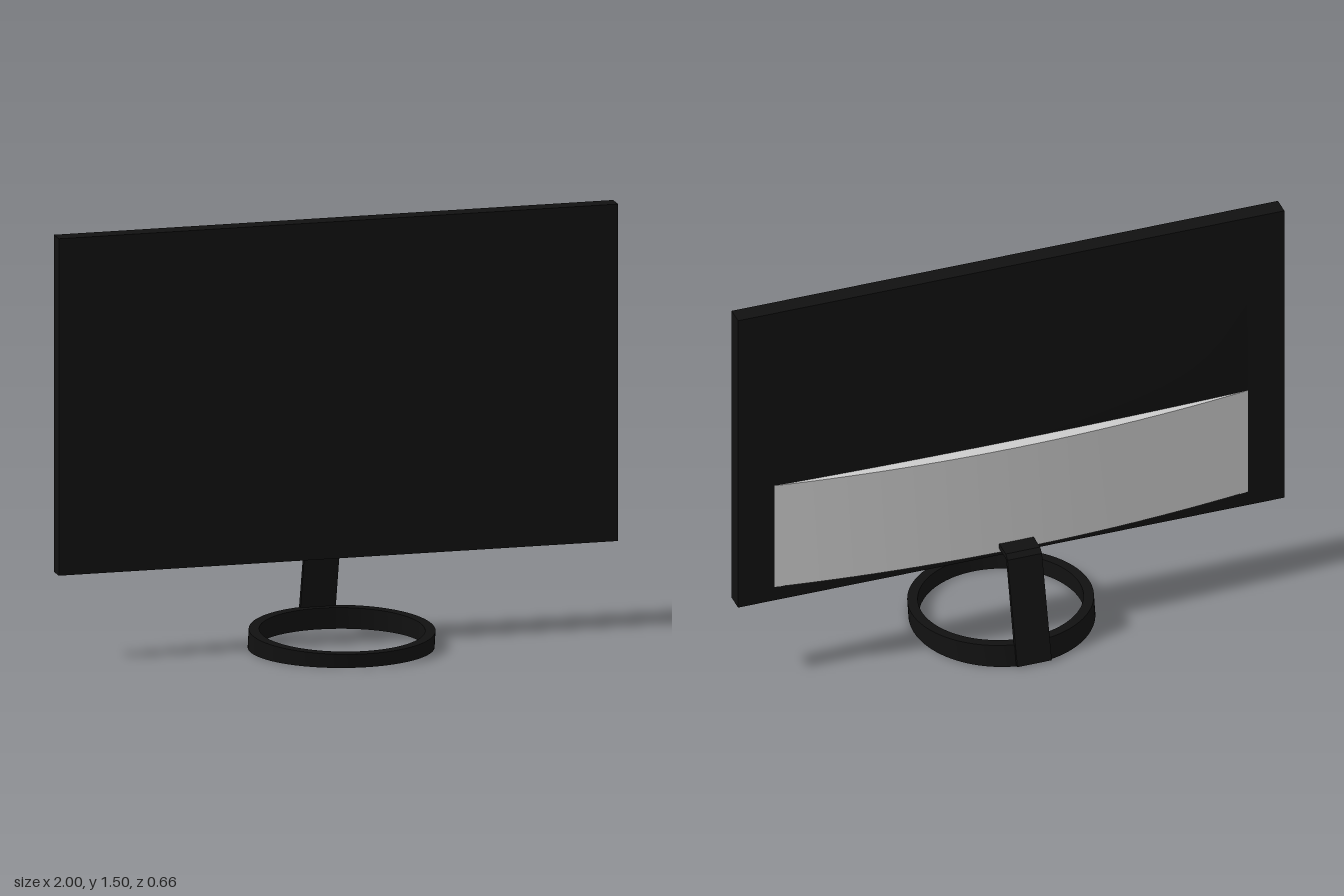
import * as THREE from 'three';
import { toCreasedNormals } from 'three/addons/utils/BufferGeometryUtils.js';

const black = new THREE.MeshStandardMaterial({ color: 0x111111 });
const grey = new THREE.MeshStandardMaterial({ color: 0xcccccc });

function part(name, geometry, material) {
  const mesh = new THREE.Mesh(geometry, material);
  mesh.name = name;
  return mesh;
}

// Moves every vertex by a rule
function reshape(geometry, rule) {
  const p = geometry.attributes.position;
  const v = new THREE.Vector3();
  for (let i = 0; i < p.count; i++) {
    rule(v.fromBufferAttribute(p, i));
    p.setXYZ(i, v.x, v.y, v.z);
  }
  geometry.computeVertexNormals();
  return geometry;
}

const polygon = (points) => new THREE.Shape(points.map(([x, y]) => new THREE.Vector2(x, y)));

// Flat screen slab
function makeScreen() {
  const geometry = new THREE.BoxGeometry(2, 1.19, 0.065);
  geometry.translate(0, 0.905, -0.053);
  return part('screenPanel', geometry, black);
}

// Shallow dome on the back of the screen
function makeBackDome() {
  const geometry = new THREE.PlaneGeometry(1.76, 1.04, 32, 20).rotateY(Math.PI);
  reshape(geometry, (v) => {
    v.z = -0.085 - 0.017 * (1 - (v.x / 0.88) ** 2) * (1 - (v.y / 0.52) ** 2);
    v.y += 0.905;
  });
  return part('backDome', geometry, black);
}

// Arched cover across the lower back, extruded upwards
function makeRearCover() {
  const points = [];
  const steps = 24;
  for (let i = 0; i <= steps; i++) {
    const t = (i / steps) * 2 - 1;
    points.push([t * 0.87, 0.085 + 0.062 * (1 - t * t)]);
  }
  const geometry = new THREE.ExtrudeGeometry(polygon(points), { depth: 0.42, bevelEnabled: false });
  geometry.rotateX(-Math.PI / 2).translate(0, 0.365, 0);
  return part('rearCover', toCreasedNormals(geometry, 0.5), grey);
}

// Bent strip: side profile (z, y) extruded across x
function makeNeck() {
  const width = 0.126;
  const profile = polygon([
    [-0.09, 0.38], [-0.09, 0.4], [-0.213, 0.4], [-0.231, 0.385],
    [-0.331, 0.005], [-0.31, 0.005], [-0.217, 0.38],
  ]);
  const geometry = new THREE.ExtrudeGeometry(profile, { depth: width, bevelEnabled: false });
  geometry.rotateY(-Math.PI / 2).translate(0.003 + width / 2, 0, 0);
  return part('standNeck', geometry, black);
}

// Ring foot, sheared forward with a top that rises to the rear
function makeBaseRing() {
  const ring = new THREE.Shape().absarc(0, 0, 0.322, 0, Math.PI * 2);
  ring.holes.push(new THREE.Path().absarc(0, 0, 0.286, 0, Math.PI * 2, true));
  const geometry = new THREE.ExtrudeGeometry(ring, { depth: 1, bevelEnabled: false, curveSegments: 48 });
  geometry.rotateX(-Math.PI / 2);
  reshape(geometry, (v) => {
    v.y *= 0.065 - 0.047 * v.z;
    v.z += 0.2 * v.y - 0.002;
    v.x += 0.004;
  });
  return part('baseRing', toCreasedNormals(geometry, 0.6), black);
}

export function createModel() {
  const model = new THREE.Group();
  model.name = 'monitor';
  model.add(makeScreen(), makeBackDome(), makeRearCover(), makeNeck(), makeBaseRing());
  return model;
}
